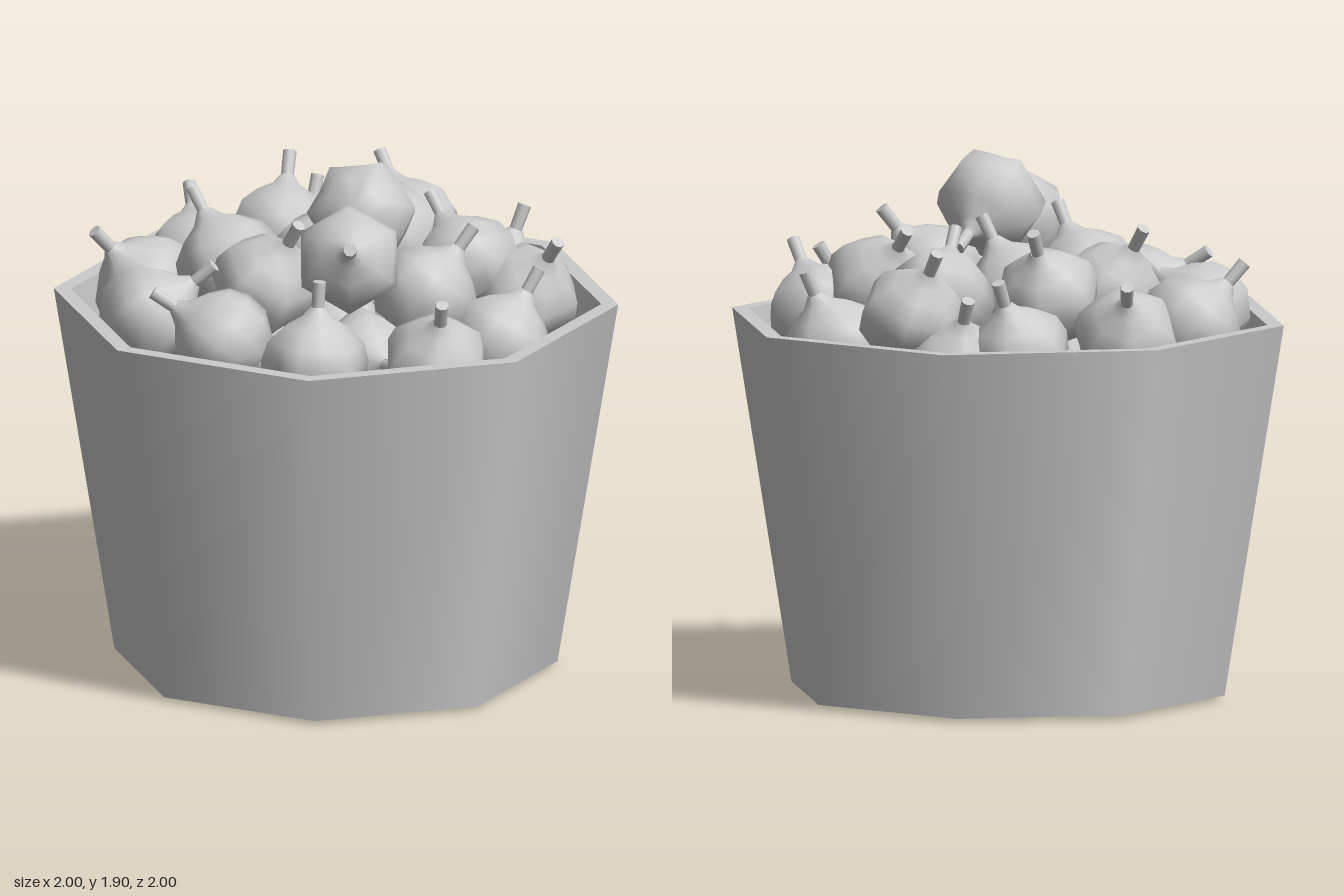
import * as THREE from 'three';
import { mergeVertices } from 'three/addons/utils/BufferGeometryUtils.js';

const grey = new THREE.MeshStandardMaterial({ color: 0xcccccc });
const FRUIT_REACH = 0.28; // fruit centre to stem tip

function addMesh(parent, name, geometry, y = 0) {
  const mesh = new THREE.Mesh(geometry, grey);
  mesh.name = name;
  mesh.position.y = y;
  parent.add(mesh);
  return mesh;
}

// Plump body with a tapered neck and six soft ribs that are strongest at the blunt end
function fruitBody() {
  const profile = [
    [0, -0.14], [0.1, -0.165], [0.165, -0.09], [0.182, -0.01],
    [0.165, 0.06], [0.11, 0.115], [0.055, 0.15], [0.025, 0.19],
  ].map(([r, y]) => new THREE.Vector2(r, y));
  let geo = new THREE.LatheGeometry(profile, 12);
  const p = geo.attributes.position;
  for (let i = 0; i < p.count; i++) {
    const a = Math.atan2(p.getZ(i), p.getX(i));
    const depth = THREE.MathUtils.clamp(0.07 - p.getY(i) * 0.3, 0.02, 0.1);
    const k = 1 + depth * Math.cos(6 * a);
    p.setXYZ(i, p.getX(i) * k, p.getY(i), p.getZ(i) * k);
  }
  geo.deleteAttribute('uv');
  geo.deleteAttribute('normal');
  geo = mergeVertices(geo, 1e-4);
  geo.computeVertexNormals();
  return geo;
}

function stemGeometry() {
  const geo = new THREE.CylinderGeometry(0.024, 0.022, 0.13, 8);
  geo.translate(0, FRUIT_REACH - 0.065, 0);
  return geo;
}

// Eight-sided tapered tub with a flat rim and a thin wall
function makeTub() {
  const tub = new THREE.Group();
  tub.name = 'tub';
  const base = 0.015, top = 1.34;
  addMesh(tub, 'outerWall', new THREE.CylinderGeometry(1, 0.785, top - base, 8, 1, true), (top + base) / 2);

  const inner = new THREE.CylinderGeometry(0.94, 0.73, top - 0.06, 8, 1, true);
  inner.scale(-1, 1, 1); // turn the wall to face inward
  const normals = inner.attributes.normal;
  for (let i = 0; i < normals.count; i++) {
    normals.setXYZ(i, -normals.getX(i), -normals.getY(i), -normals.getZ(i));
  }
  // mirrored corners already face inward, so the normals follow them
  addMesh(tub, 'innerWall', inner, (top + 0.06) / 2);

  addMesh(tub, 'rim', new THREE.RingGeometry(0.94, 1, 8).rotateX(-Math.PI / 2), top);
  addMesh(tub, 'floor', new THREE.CircleGeometry(0.73, 8).rotateX(-Math.PI / 2), 0.06);
  addMesh(tub, 'underside', new THREE.CircleGeometry(0.785, 8).rotateX(Math.PI / 2), base);
  addMesh(tub, 'foot', new THREE.CylinderGeometry(0.6, 0.25, base, 8), base / 2);
  return tub;
}

// Visible heap: centre x, y, z, then the sideways reach of the stem in x and z
const heap = [
  [0.08, 1.29, -0.67, 0.02, -0.11],
  [0.43, 1.36, -0.52, 0.17, 0],
  [-0.29, 1.43, -0.57, -0.16, 0],
  [-0.15, 1.47, -0.37, 0.13, 0.14],
  [0.25, 1.46, -0.38, -0.19, 0],
  [-0.55, 1.31, -0.3, -0.05, -0.11],
  [0.65, 1.3, -0.22, 0.04, -0.14],
  [0.45, 1.46, -0.05, 0.06, -0.16],
  [-0.41, 1.48, -0.09, -0.1, -0.12],
  [-0.1, 1.46, -0.03, 0.1, -0.08],
  [-0.68, 1.35, 0.07, -0.17, -0.1],
  [0.7, 1.3, 0.12, 0.12, 0.07],
  [-0.3, 1.46, 0.25, -0.16, 0.03],
  [0.02, 1.47, 0.33, 0.15, -0.02],
  [0.4, 1.63, 0.27, 0.2, 0.16],
  [-0.55, 1.35, 0.43, -0.05, 0.18],
  [-0.23, 1.35, 0.64, 0.15, -0.15],
  [0.15, 1.36, 0.66, -0.17, 0.16],
  [0.49, 1.33, 0.5, 0, -0.02],
  [-0.42, 1.26, -0.48, -0.14, -0.03],
];

export function createModel() {
  const model = new THREE.Group();
  model.name = 'tubOfFruit';
  model.add(makeTub());

  const body = fruitBody();
  const stem = stemGeometry();
  const up = new THREE.Vector3(0, 1, 0);
  const fruits = new THREE.Group();
  fruits.name = 'fruits';
  model.add(fruits);

  function addFruit(x, y, z, direction) {
    const fruit = new THREE.Group();
    fruit.name = 'fruit';
    addMesh(fruit, 'fruitBody', body);
    addMesh(fruit, 'stem', stem);
    fruit.position.set(x, y, z);
    fruit.quaternion.setFromUnitVectors(up, direction.normalize());
    fruit.rotateY(fruits.children.length * 0.7);
    fruits.add(fruit);
  }

  for (const [x, y, z, dx, dz] of heap) {
    const rise = Math.sqrt(Math.max(0, FRUIT_REACH ** 2 - dx * dx - dz * dz));
    addFruit(x, y, z, new THREE.Vector3(dx, rise, dz));
  }
  // Topmost fruit lies tipped over, blunt end up
  addFruit(0.21, 1.71, 0.05, new THREE.Vector3(-0.14, -0.13, -0.22));

  // Lower layer showing through the gaps
  for (const [count, radius, y] of [[10, 0.6, 1.06], [5, 0.28, 1.18], [1, 0, 1.2]]) {
    for (let i = 0; i < count; i++) {
      const a = (i / count) * Math.PI * 2 + 0.3;
      const turn = a + i * 1.9;
      addFruit(Math.cos(a) * radius, y, Math.sin(a) * radius,
        new THREE.Vector3(Math.cos(turn), 0.2, Math.sin(turn)));
    }
  }
  return model;
}
